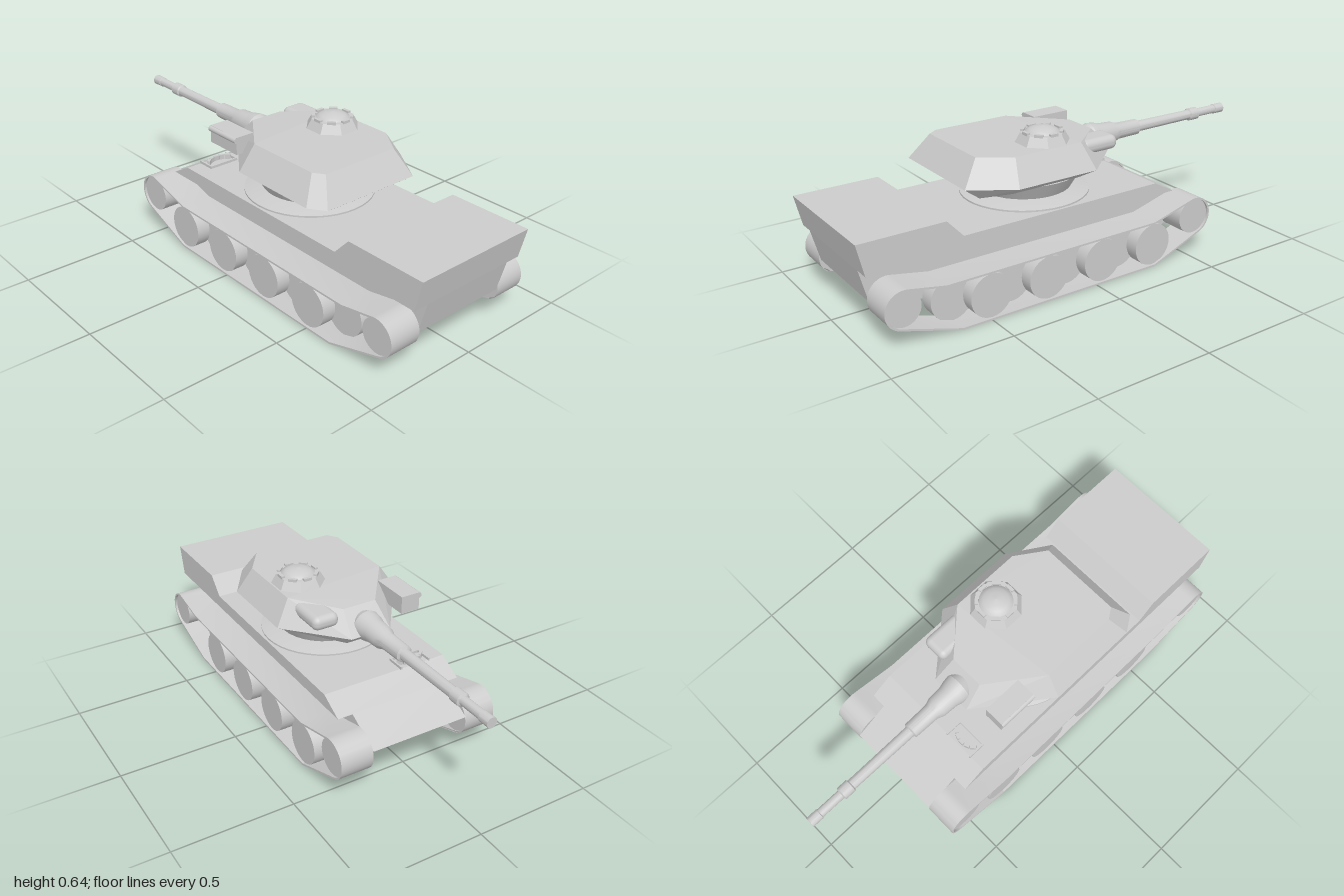
import * as THREE from 'three';
import { toCreasedNormals } from 'three/addons/utils/BufferGeometryUtils.js';
import { ConvexGeometry } from 'three/addons/geometries/ConvexGeometry.js';
import { RoundedBoxGeometry } from 'three/addons/geometries/RoundedBoxGeometry.js';

const smooth = new THREE.MeshStandardMaterial({ color: 0xcccccc });
const flat = new THREE.MeshStandardMaterial({ color: 0xcccccc, flatShading: true });

export function createModel() {
  const model = new THREE.Group();

  const add = (name, geo, pos = [0, 0, 0], mat = smooth, parent = model) => {
    const mesh = new THREE.Mesh(geo, mat);
    mesh.name = name;
    mesh.position.set(...pos);
    parent.add(mesh);
    return mesh;
  };

  // Side profile of [z, y] points, extruded across x from x0 to x1
  const across = (points, x0, x1, hole) => {
    const toV = ([z, y]) => new THREE.Vector2(-z, y);
    const shape = new THREE.Shape(points.map(toV));
    if (hole) shape.holes.push(new THREE.Path(hole.map(toV)));
    const geo = new THREE.ExtrudeGeometry(shape, { depth: Math.abs(x1 - x0), bevelEnabled: false });
    return geo.rotateY(Math.PI / 2).translate(Math.min(x0, x1), 0, 0);
  };

  // Hull
  add('lowerHull', across([[0.97, 0.285], [-0.46, 0.285], [-0.61, 0.205], [-0.46, 0.1],
    [0.88, 0.1], [0.935, 0.15]], -0.215, 0.215), [0, 0, 0], flat);
  add('upperHull', across([[1, 0.415], [0.64, 0.415], [0.57, 0.34], [-0.36, 0.34],
    [-0.46, 0.285], [0.97, 0.285]], -0.28, 0.28), [0, 0, 0], flat);

  // Track outline, moved inwards by d
  const arc = (z, y, r, a0, a1) => Array.from({ length: 25 }, (_, i) => {
    const a = THREE.MathUtils.degToRad(a0 + (a1 - a0) * i / 24);
    return [z - r * Math.cos(a), y + r * Math.sin(a)];
  });
  const trackLine = (d) => [
    [0.63, d], [-0.31, d], ...arc(-0.525, 0.175, 0.085 - d, -69, 106),
    [-0.3, 0.203 - d], [0.69, 0.203 - d], ...arc(0.863, 0.155, 0.08 - d, 78, 253),
  ];

  // Running gear on both sides
  for (const s of [1, -1]) {
    const gear = new THREE.Group();
    gear.name = s > 0 ? 'leftRunningGear' : 'rightRunningGear';
    model.add(gear);

    const belt = across(trackLine(0), s * 0.215, s * 0.355, trackLine(0.008));
    const p = belt.attributes.position;
    for (let i = 0; i < p.count; i++) {
      // The lower run is narrower on its inner edge
      if (p.getY(i) < 0.09 && Math.abs(p.getX(i)) < 0.22) p.setX(i, s * 0.235);
    }
    add('track', toCreasedNormals(belt, 0.35), [0, 0, 0], smooth, gear);

    const wheel = (name, z, y, r, x0, x1) => add(name,
      new THREE.CylinderGeometry(r, r, x1 - x0, 32).rotateZ(Math.PI / 2),
      [s * (x0 + x1) / 2, y, z], smooth, gear);
    wheel('frontWheel', -0.525, 0.175, 0.077, 0.22, 0.345);
    wheel('rearWheel', 0.863, 0.155, 0.072, 0.22, 0.345);
    for (let i = 0; i < 4; i++) {
      wheel('outerRoadWheel', 0.495 - i * 0.265, 0.099, 0.091, 0.285, 0.345);
      wheel('innerRoadWheel', 0.63 - i * 0.266, 0.099, 0.091, 0.215, 0.28);
    }
  }

  // Turret ring: shallow collar and flared neck
  const collar = [[0.27, 0.335], [0.27, 0.347], [0.19, 0.366], [0, 0.37]];
  add('turretCollar', toCreasedNormals(new THREE.LatheGeometry(
    collar.map(([r, y]) => new THREE.Vector2(r, y)), 40), 0.3), [0, 0, 0.115]);
  add('turretNeck', new THREE.CylinderGeometry(0.235, 0.19, 0.075, 32), [0, 0.393, 0.115]);

  // Turret body from bottom, middle and top outlines of [x, z]
  const levels = [
    [0.425, [[-0.07, -0.2], [0.08, -0.2], [0.215, 0], [0.215, 0.31],
      [0.18, 0.44], [-0.19, 0.44], [-0.215, 0.4], [-0.215, 0.05]]],
    [0.475, [[-0.085, -0.26], [0.095, -0.26], [0.3, -0.03], [0.3, 0.335],
      [0.19, 0.508], [-0.26, 0.508], [-0.305, 0.44], [-0.305, 0.04]]],
    [0.58, [[-0.07, -0.17], [0.08, -0.17], [0.235, 0], [0.235, 0.31],
      [0.15, 0.435], [-0.205, 0.435], [-0.235, 0.39], [-0.235, 0.05]]],
  ];
  const corners = levels.flatMap(([y, ring]) => ring.map(([x, z]) =>
    new THREE.Vector3(x, y > 0.5 && z < -0.1 ? 0.565 : y, z)));
  add('turret', new ConvexGeometry(corners), [0, 0, 0], flat);

  // Gun: mantlet, tapered sleeve, barrel and bands, as [radius, distance forward]
  const gun = [[0, 0.16], [0.05, 0.19], [0.062, 0.22], [0.058, 0.25], [0.05, 0.28], [0.047, 0.34],
    [0.036, 0.37], [0.034, 0.48], [0.024, 0.485], [0.022, 0.79], [0.028, 0.795], [0.028, 0.84],
    [0.019, 0.845], [0.019, 0.95], [0.022, 0.952], [0.022, 1], [0, 1]];
  add('gun', toCreasedNormals(new THREE.LatheGeometry(
    gun.map(([r, d]) => new THREE.Vector2(r, d)), 24).rotateX(-Math.PI / 2), 0.5), [0, 0.495, 0]);

  // Sight housings on the turret cheeks
  add('rightSightBox', new THREE.BoxGeometry(0.085, 0.075, 0.175), [-0.205, 0.537, -0.137]);
  add('rightSightTube', new THREE.CylinderGeometry(0.013, 0.013, 0.175, 16).rotateX(Math.PI / 2),
    [-0.246, 0.561, -0.137]);
  add('leftSightPod', new RoundedBoxGeometry(0.115, 0.06, 0.18, 5, 0.027), [0.168, 0.54, -0.11]);

  // Commander's cupola with vision blocks
  const cupola = new THREE.Group();
  cupola.name = 'cupola';
  cupola.position.set(0.125, 0, 0.11);
  model.add(cupola);
  add('cupolaBase', new THREE.CylinderGeometry(0.09, 0.118, 0.05, 8).rotateY(Math.PI / 8),
    [0, 0.594, 0], flat, cupola);
  const dome = [[0.07, 0.61], [0.07, 0.621], [0.052, 0.631], [0.03, 0.639], [0, 0.642]];
  add('cupolaHatch', new THREE.LatheGeometry(
    dome.map(([r, y]) => new THREE.Vector2(r, y)), 24), [0, 0, 0], smooth, cupola);
  for (let i = 0; i < 8; i++) {
    const a = i * Math.PI / 4;
    add('visionBlock', new THREE.BoxGeometry(0.036, 0.012, 0.014),
      [0.078 * Math.sin(a), 0.621, 0.078 * Math.cos(a)], smooth, cupola).rotation.y = a;
  }

  // Driver's periscopes inside a low three-sided frame
  const driver = new THREE.Group();
  driver.name = 'driverPeriscopes';
  driver.position.set(-0.14, 0.345, -0.325);
  model.add(driver);
  add('frameRear', new THREE.BoxGeometry(0.14, 0.012, 0.007), [0, 0, 0.037], smooth, driver);
  for (const s of [1, -1]) {
    add('frameSide', new THREE.BoxGeometry(0.007, 0.012, 0.08), [s * 0.067, 0, 0], smooth, driver);
  }
  for (let i = -2; i <= 2; i++) {
    const a = i * 0.36;
    add('periscope', new THREE.BoxGeometry(0.024, 0.026, 0.013),
      [0.075 * Math.sin(a), 0.003, 0.055 - 0.075 * Math.cos(a)], smooth, driver).rotation.y = -a;
  }

  return model;
}
